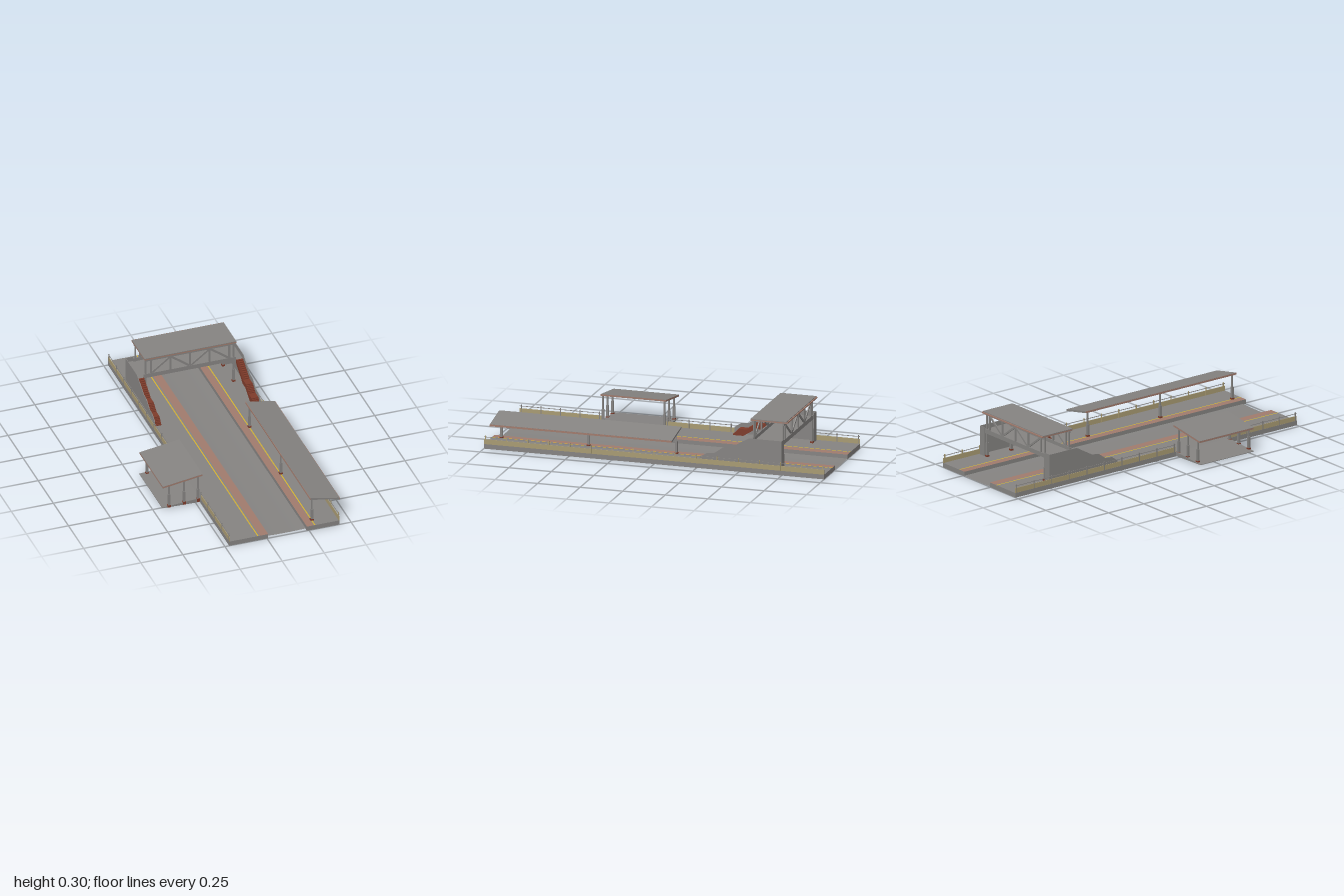
import * as THREE from 'three';

const mat = (name, color) => {
  const m = new THREE.MeshStandardMaterial({ color, side: THREE.DoubleSide });
  m.name = name;
  return m;
};

export function createModel() {
  const concrete = mat('concrete', 0x858381);
  const edging = mat('edging brick', 0xa07a6c);
  const brick = mat('dark brick', 0x7e3b2a);
  const tan = mat('fence tan', 0xa89a72);
  const yellow = mat('safety yellow', 0xd6b030);

  const root = new THREE.Group();
  const group = (name, parent = root) => {
    const g = new THREE.Group();
    g.name = name;
    parent.add(g);
    return g;
  };
  const add = (parent, name, geo, m) => {
    const mesh = new THREE.Mesh(geo, m);
    mesh.name = name;
    parent.add(mesh);
    return mesh;
  };
  // Box given by its low and high corners
  const box = (parent, name, m, x0, x1, y0, y1, z0, z1) => {
    const b = add(parent, name, new THREE.BoxGeometry(x1 - x0, y1 - y0, z1 - z0), m);
    b.position.set((x0 + x1) / 2, (y0 + y1) / 2, (z0 + z1) / 2);
    return b;
  };
  // Outline in x,y extruded along z
  const slabZ = (parent, name, m, pts, z0, z1) => {
    const s = new THREE.Shape(pts.map(p => new THREE.Vector2(...p)));
    const geo = new THREE.ExtrudeGeometry(s, { depth: z1 - z0, bevelEnabled: false });
    return add(parent, name, geo.translate(0, 0, z0), m);
  };
  // Outline in z,y extruded along x
  const slabX = (parent, name, m, pts, x0, x1) => {
    const s = new THREE.Shape(pts.map(([z, y]) => new THREE.Vector2(-z, y)));
    const geo = new THREE.ExtrudeGeometry(s, { depth: x1 - x0, bevelEnabled: false });
    return add(parent, name, geo.rotateY(Math.PI / 2).translate(x0, 0, 0), m);
  };
  // Post with brick foot, thick lower shaft and slim upper shaft
  const post = (parent, x, z, foot0, foot1, yMid, y1) => {
    const g = group('post', parent);
    box(g, 'postFoot', brick, x - 0.009, x + 0.009, foot0, foot1, z - 0.009, z + 0.009);
    box(g, 'postLower', concrete, x - 0.0065, x + 0.0065, foot1, yMid, z - 0.0065, z + 0.0065);
    box(g, 'postUpper', concrete, x - 0.004, x + 0.004, yMid, y1, z - 0.004, z + 0.004);
  };

  // Platforms: open-bottomed shells with strips of paving on top
  const TOP = 0.027;
  const platform = (name, strips) => {
    const g = group(name);
    for (const [x0, x1, m, part] of strips)
      add(g, part, new THREE.PlaneGeometry(x1 - x0, 2).rotateX(-Math.PI / 2), m)
        .position.set((x0 + x1) / 2, TOP, 0);
    const a = strips[0][0], b = strips.at(-1)[1];
    for (const x of [a, b])
      add(g, 'sideSkirt', new THREE.PlaneGeometry(2, TOP).rotateY(x === a ? -Math.PI / 2 : Math.PI / 2), concrete)
        .position.set(x, TOP / 2, 0);
    for (const s of [-1, 1])
      add(g, 'endSkirt', new THREE.PlaneGeometry(b - a, TOP).rotateY(s < 0 ? Math.PI : 0), concrete)
        .position.set((a + b) / 2, TOP / 2, s);
  };
  platform('rightPlatform', [
    [-0.225, -0.057, concrete, 'paving'], [-0.057, -0.05, yellow, 'safetyLine'],
    [-0.05, -0.041, concrete, 'paving'], [-0.041, 0.007, edging, 'edging']]);
  platform('leftPlatform', [
    [0.237, 0.277, edging, 'edging'], [0.277, 0.281, concrete, 'paving'],
    [0.281, 0.288, yellow, 'safetyLine'], [0.288, 0.43, concrete, 'paving']]);

  // Track bed, dipping slightly in the middle
  const bedGeo = new THREE.PlaneGeometry(0.23, 1.98, 8, 1).rotateX(-Math.PI / 2);
  const bp = bedGeo.attributes.position;
  for (let i = 0; i < bp.count; i++) bp.setY(i, 0.001 + 0.003 * (bp.getX(i) / 0.115) ** 2);
  bedGeo.computeVertexNormals();
  add(root, 'trackBed', bedGeo, concrete).position.set(0.122, 0, -0.01);

  // Fences along the outer edges, open at the side entrance
  const fence = (x, z0, z1) => {
    const g = group('fence');
    const m = x > 0 ? tan : concrete;
    box(g, 'fencePanel', tan, x - 0.0015, x + 0.0015, TOP, 0.055, z0, z1);
    box(g, 'fenceRail', concrete, x - 0.0015, x + 0.0015, 0.067, 0.07, z0, z1);
    const n = Math.max(1, Math.round((z1 - z0) / 0.125));
    for (let i = 0; i <= n; i++) {
      const z = z0 + 0.01 + (i / n) * (z1 - z0 - 0.02);
      box(g, 'fencePost', m, x - 0.0025, x + 0.0025, TOP, 0.077, z - 0.0025, z + 0.0025);
    }
  };
  fence(0.4285, -1, 1);
  fence(-0.2225, -1, 0.14);
  fence(-0.2225, 0.52, 1);

  // Sloping roof in layers between two eaves: grey faces around a core
  const roof = (parent, xa, ya, xb, yb, z0, z1, core) => {
    const layer = (name, m, lo, hi) => slabZ(parent, name, m,
      [[xa, ya + lo], [xb, yb + lo], [xb, yb + hi], [xa, ya + hi]], z0, z1);
    layer('roofSoffit', concrete, -0.011, -0.01);
    layer('roofEdge', core, -0.01, -0.001);
    layer('roofTop', concrete, -0.001, 0);
  };

  // Entrance shelter with a ramped floor
  const shelter = group('entranceShelter');
  slabZ(shelter, 'rampFloor', concrete,
    [[-0.45, 0.009], [-0.25, 0.003], [-0.225, 0.003], [-0.225, TOP], [-0.45, 0.012]], 0.14, 0.518);
  roof(shelter, -0.446, 0.15, -0.21, 0.184, 0.135, 0.52, edging);
  for (const z of [0.153, 0.514])
    for (const x of [-0.408, -0.318, -0.235])
      post(shelter, x, z, 0.008, 0.021 + (x + 0.408) * 0.035, 0.09, 0.142 + (x + 0.446) * 0.144);

  // Long canopy on a single row of posts, brick trim along both eaves
  const canopy = group('platformCanopy');
  roof(canopy, 0.273, 0.184, 0.446, 0.15, -0.11, 0.96, concrete);
  box(canopy, 'canopyTrim', edging, 0.446, 0.448, 0.139, 0.149, -0.11, 0.96);
  box(canopy, 'canopyTrim', edging, 0.271, 0.273, 0.173, 0.183, -0.11, 0.96);
  for (const z of [-0.085, 0.43, 0.942]) post(canopy, 0.287, z, TOP - 0.004, TOP + 0.009, 0.1, 0.174);

  // Footbridge deck, roof and supports
  const bridge = group('footbridge');
  box(bridge, 'deck', concrete, -0.17, 0.378, 0.164, 0.169, -0.745, -0.56);
  box(bridge, 'roofSoffit', concrete, -0.168, 0.374, 0.285, 0.287, -0.763, -0.552);
  box(bridge, 'roofEdge', edging, -0.17, 0.376, 0.287, 0.294, -0.767, -0.55);
  box(bridge, 'roofTop', concrete, -0.17, 0.376, 0.294, 0.298, -0.76, -0.55);
  for (const x of [-0.158, 0.365])
    for (const z of [-0.567, -0.738]) post(bridge, x, z, TOP - 0.004, TOP + 0.009, 0.108, 0.28);

  // Truss sides with zigzag braces, opposed front to back
  const nodes = [-0.127, -0.011, 0.105, 0.222, 0.339];
  [-0.564, -0.741].forEach((z, side) => {
    const t = group('truss', bridge);
    box(t, 'lowerBeam', concrete, -0.17, 0.378, 0.164, 0.189, z - 0.004, z + 0.004);
    box(t, 'upperBeam', concrete, -0.165, 0.372, 0.272, 0.286, z - 0.004, z + 0.004);
    for (const x of nodes) box(t, 'upright', concrete, x - 0.005, x + 0.005, 0.189, 0.272, z - 0.004, z + 0.004);
    for (let i = 0; i < 4; i++) {
      const dx = nodes[i + 1] - nodes[i] - 0.01, dy = 0.08;
      const b = add(t, 'brace', new THREE.BoxGeometry(Math.hypot(dx, dy), 0.011, 0.006), concrete);
      b.position.set((nodes[i] + nodes[i + 1]) / 2, 0.23, z);
      b.rotation.z = ((i + side) % 2 ? -1 : 1) * Math.atan2(dy, dx);
    }
  });

  // Stepped flights with two rests, each as an outline of treads
  const path = [[-0.27, TOP], [-0.31, 0.066], [-0.355, 0.066], [-0.405, 0.102], [-0.45, 0.102], [-0.56, 0.169]];
  const steps = [];
  for (let i = 0; i < path.length - 1; i++) {
    const [za, ya] = path[i], [zb, yb] = path[i + 1];
    const n = yb > ya ? Math.round((yb - ya) / 0.0065) : 1;
    for (let k = 0; k < n; k++) {
      const y = ya + (yb - ya) * (k + 1) / n;
      steps.push([za + (zb - za) * k / n, y], [za + (zb - za) * (k + 1) / n, y]);
    }
  }
  const stairOutline = [[-0.27, TOP], ...steps, [-0.56, 0.145], [-0.45, 0.074], [-0.405, 0.074], [-0.33, TOP]];
  const wallOutline = [[-0.265, TOP], [-0.265, 0.062], [-0.305, 0.088], [-0.35, 0.092], [-0.4, 0.128],
    [-0.445, 0.133], [-0.555, 0.196], [-0.745, 0.196], [-0.745, TOP]];
  for (const [x0, x1, outer] of [[-0.212, -0.168, -0.213], [0.376, 0.42, 0.418]]) {
    const s = group('staircase');
    slabX(s, 'steps', brick, stairOutline, x0 + 0.002, x1 - 0.002);
    slabX(s, 'sideWall', concrete, wallOutline, outer, outer + 0.003);
    box(s, 'landing', concrete, x0, x1, 0.162, 0.169, -0.745, -0.56);
    box(s, 'endWall', concrete, x0, x1, TOP, 0.196, -0.747, -0.743);
  }
  return root;
}
